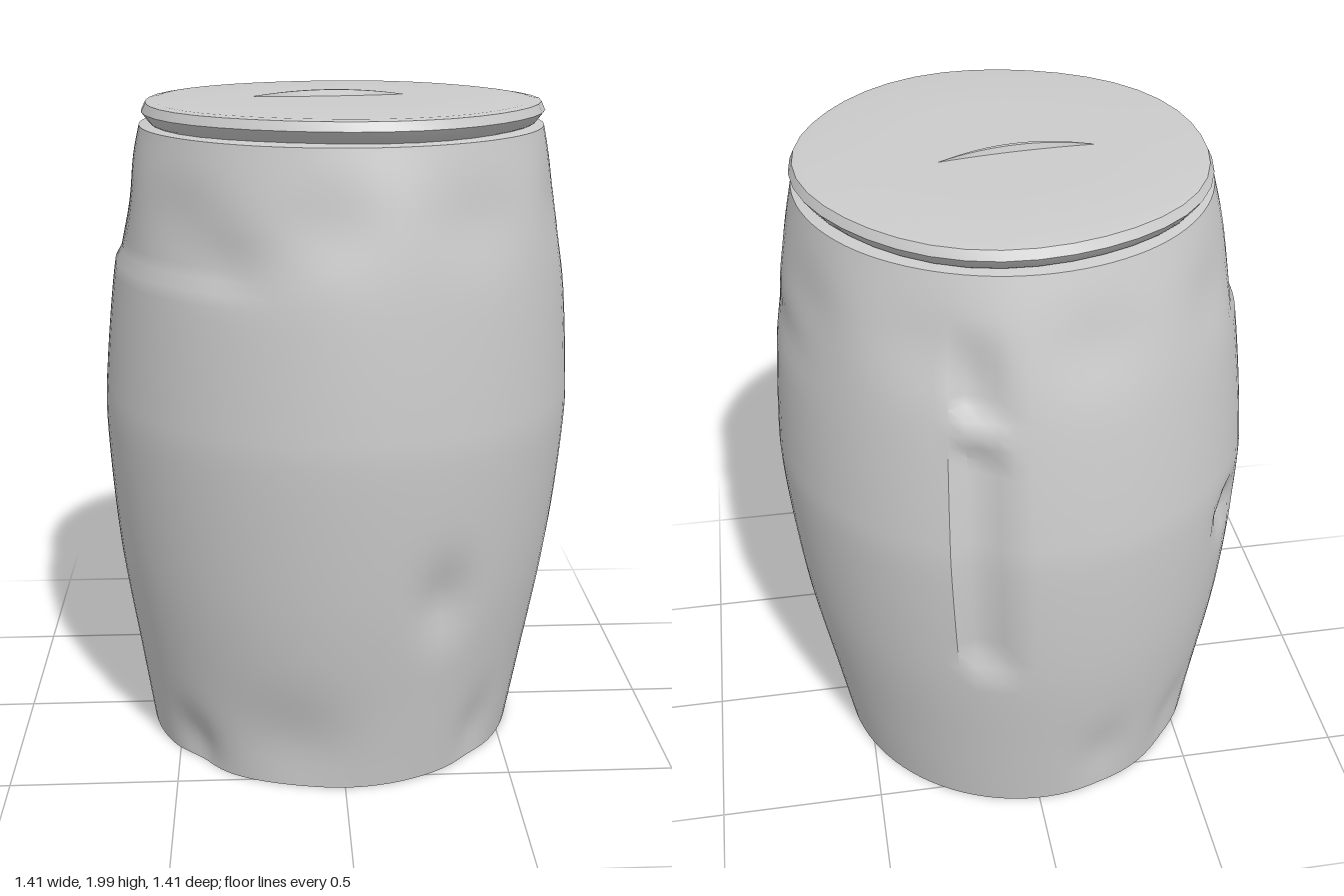
import * as THREE from 'three';
import { mergeVertices, toCreasedNormals } from 'three/addons/utils/BufferGeometryUtils.js';

const material = new THREE.MeshStandardMaterial({ color: 0xcccccc });
const { cos, sin, atan2, exp, abs, PI } = Math;
const smooth = THREE.MathUtils.smoothstep;

// Dents in the wall: [x, z] direction, height, half width (radians), half height, depth
const dents = [
  [0.30, 0.62, 0.62, 0.12, 0.12, 0.035],
  [-0.15, 0.65, 0.16, 0.28, 0.16, 0.025],
  [-0.45, 0.42, 0.08, 0.14, 0.10, 0.03],
  [0.45, 0.45, 0.12, 0.12, 0.12, 0.02],
  [0.66, 0.08, 0.55, 0.12, 0.15, 0.012],
  [-0.30, 0.55, 1.60, 0.20, 0.08, 0.012],
  [0.65, -0.10, 1.55, 0.30, 0.07, 0.012],
  [-0.50, -0.45, 0.15, 0.16, 0.14, 0.02],
  [-0.20, -0.62, 0.18, 0.14, 0.14, 0.02],
  [-0.585, -0.366, 0.95, 0.09, 0.07, 0.05],
].map(([x, z, ...rest]) => [atan2(x, z), ...rest]);

const angleGap = (a, b) => abs(atan2(sin(a - b), cos(a - b)));

// Radial offset of the worn wall at angle a (from +z towards +x) and height y
function wear(a, y) {
  let d = 0;
  for (const [da, dy, w, h, depth] of dents) {
    d -= depth * exp(-((angleGap(a, da) / w) ** 2) - ((y - dy) / h) ** 2);
  }
  // Scalloped hollows under the rim
  d -= 0.012 * (0.5 + 0.5 * cos(9 * a + 1)) * exp(-(((y - 1.7) / 0.12) ** 2));
  // Shallow ledge on the right shoulder
  d -= 0.012 * smooth(y, 1.52, 1.55) * (1 - smooth(y, 1.55, 1.85)) * (1 - smooth(angleGap(a, -1.2), 0.6, 0.9));
  // Long upright slot and a short notch at the back
  const slot = 1 - smooth(angleGap(a, 2.86), 0.07, 0.11);
  d -= 0.035 * slot * smooth(y, 0.64, 0.7) * (1 - smooth(y, 1.42, 1.46));
  d -= 0.03 * slot * smooth(y, 1.51, 1.54) * (1 - smooth(y, 1.6, 1.8));
  return d;
}

// Moves each vertex by a radial offset and a slight lean of the axis
function shape(geometry, offset) {
  const p = geometry.attributes.position;
  for (let i = 0; i < p.count; i++) {
    const x = p.getX(i), y = p.getY(i), z = p.getZ(i);
    const r = Math.hypot(x, z), a = atan2(x, z);
    const n = r > 0.001 ? r + offset(a, y) : r;
    const t = y / 2;
    p.setXYZ(i, n * sin(a) + THREE.MathUtils.lerp(-0.02, 0.015, t), y,
      n * cos(a) + THREE.MathUtils.lerp(-0.015, 0.035, t * t));
  }
  geometry.deleteAttribute('uv');
  geometry.deleteAttribute('normal');
  return mergeVertices(geometry, 1e-4);
}

function add(group, name, geometry, crease) {
  const mesh = new THREE.Mesh(toCreasedNormals(geometry, crease), material);
  mesh.name = name;
  group.add(mesh);
}

export function createModel() {
  const group = new THREE.Group();
  group.name = 'barrel';

  // Bulging body with a closed base
  const curve = new THREE.SplineCurve([
    [0.58, 0.01], [0.618, 0.25], [0.675, 0.62], [0.705, 1.0], [0.7, 1.2], [0.668, 1.52], [0.628, 1.75], [0.59, 1.91],
  ].map(([r, y]) => new THREE.Vector2(r, y)));
  const profile = [new THREE.Vector2(0, 0.01), ...curve.getPoints(56), new THREE.Vector2(0.54, 1.92)];
  add(group, 'body', shape(new THREE.LatheGeometry(profile, 96), wear), 0.7);

  // Lid with a bevelled, slightly uneven rim
  const lid = [[0.54, 1.905], [0.565, 1.92], [0.587, 1.95], [0.575, 1.975], [0.55, 1.979], [0.3, 1.981], [0, 1.982]]
    .map(([r, y]) => new THREE.Vector2(r, y));
  const lidGeometry = new THREE.LatheGeometry(lid, 40);
  add(group, 'lid', shape(lidGeometry, (a) => 0.005 * sin(5 * a)), 0.7);

  // Thin curved ridge across the lid
  const ridge = new THREE.BoxGeometry(0.44, 0.03, 0.024, 16, 1, 1);
  const p = ridge.attributes.position;
  for (let i = 0; i < p.count; i++) {
    const x = p.getX(i), t = x / 0.22, swell = 1 - t * t;
    const top = p.getY(i) > 0;
    p.setXYZ(i, x - 0.02, top ? 1.982 + 0.018 * swell : 1.972,
      0.008 - 0.022 * t - 0.02 * t * t + p.getZ(i) * swell * (top ? 0.5 : 1));
  }
  ridge.deleteAttribute('uv');
  add(group, 'lidRidge', ridge, 0.6);

  return group;
}
